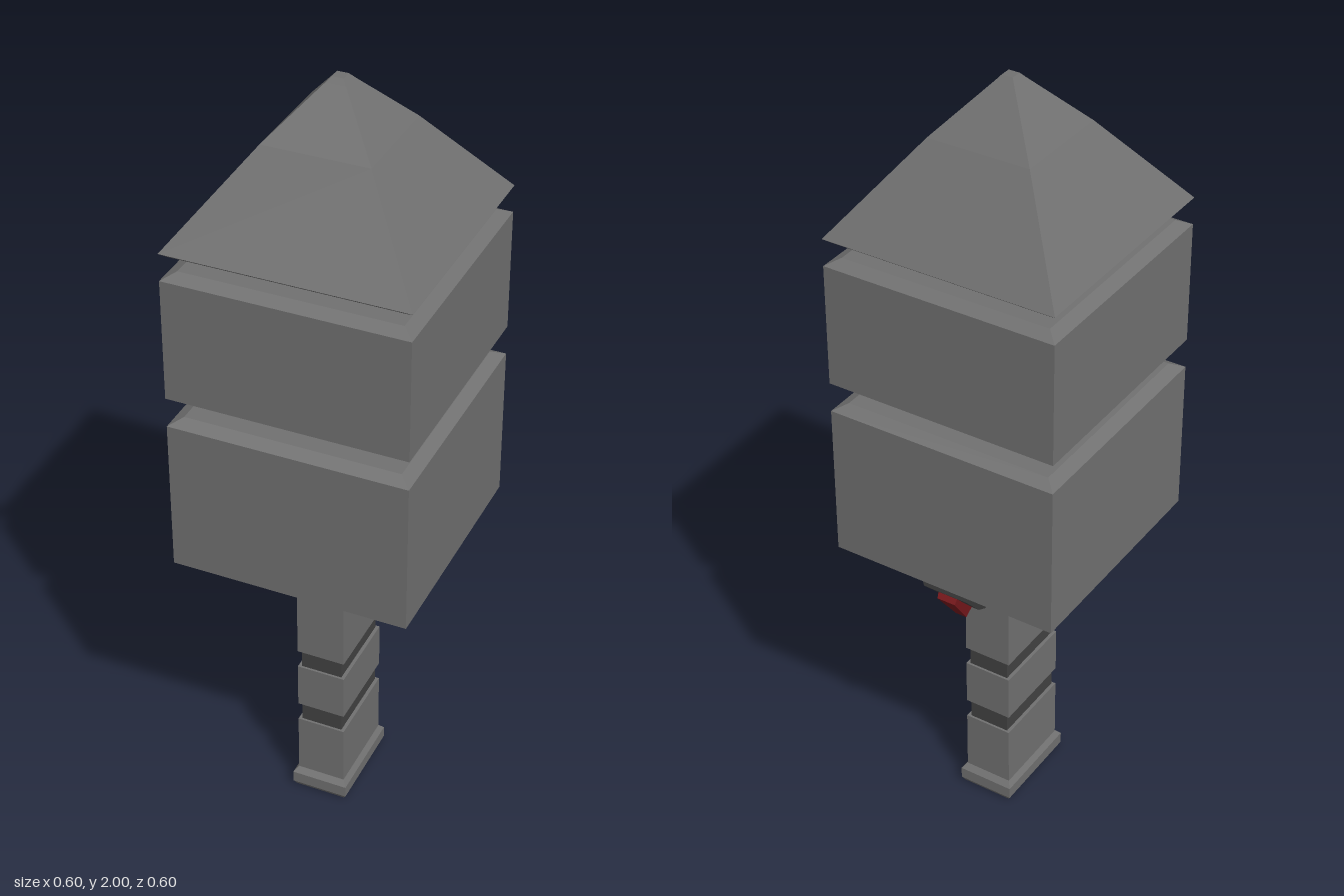
import * as THREE from 'three';

const material = (color) => new THREE.MeshStandardMaterial({ color, flatShading: true });
const grey = material(0x707070);
const darkGrey = material(0x424242);
const yellow = material(0xd1bf00);
const red = material(0x78181c);

// Closed loft through rectangles given as [y, halfX, halfZ], bottom to top
function rectLoft(sections, cx = 0) {
  const pos = [];
  const ring = ([y, hx, hz = hx]) =>
    [[1, 1], [1, -1], [-1, -1], [-1, 1]].map(([a, b]) => [cx + a * hx, y, b * hz]);
  const quad = (a, b, c, d) => pos.push(...a, ...b, ...c, ...a, ...c, ...d);
  const rings = sections.map(ring);
  for (let i = 0; i + 1 < rings.length; i++) {
    const lo = rings[i], hi = rings[i + 1];
    for (let k = 0; k < 4; k++) {
      const n = (k + 1) % 4;
      quad(lo[k], lo[n], hi[n], hi[k]);
    }
  }
  const first = rings[0], last = rings[rings.length - 1];
  quad(first[3], first[2], first[1], first[0]);
  quad(...last);
  const geo = new THREE.BufferGeometry();
  geo.setAttribute('position', new THREE.Float32BufferAttribute(pos, 3));
  geo.computeVertexNormals();
  return geo;
}

// Side profile in (-z, y) extruded across x, its width tapering from bottom to top
function taperedProfile(points, bottomWidth, topWidth) {
  const shape = new THREE.Shape(points.map(([u, v]) => new THREE.Vector2(u, v)));
  const geo = new THREE.ExtrudeGeometry(shape, { depth: 1, bevelEnabled: false });
  geo.translate(0, 0, -0.5).rotateY(Math.PI / 2);
  geo.computeBoundingBox();
  const { min, max } = geo.boundingBox;
  const p = geo.attributes.position;
  for (let i = 0; i < p.count; i++) {
    const t = (p.getY(i) - min.y) / (max.y - min.y);
    p.setX(i, p.getX(i) * THREE.MathUtils.lerp(bottomWidth, topWidth, t));
  }
  geo.computeVertexNormals();
  return geo;
}

export function createModel() {
  const model = new THREE.Group();
  model.name = 'lanternMallet';
  const add = (name, geo, mat = grey) => {
    const mesh = new THREE.Mesh(geo, mat);
    mesh.name = name;
    model.add(mesh);
    return mesh;
  };

  // Handle: bevelled pommel and a grip with two dark grooves
  const gripX = -0.003;
  add('pommel', rectLoft([
    [0, 0.066, 0.119], [0.012, 0.074, 0.126], [0.043, 0.074, 0.126], [0.057, 0.064, 0.114],
  ], gripX));
  [[0.05, 0.222], [0.274, 0.398], [0.448, 0.64]].forEach(([a, b], i) =>
    add(`gripSection${i + 1}`, rectLoft([[a, 0.063, 0.113], [b, 0.063, 0.113]], gripX)));
  [[0.215, 0.28], [0.39, 0.455]].forEach(([a, b], i) =>
    add(`gripGroove${i + 1}`, rectLoft([[a, 0.054, 0.107], [b, 0.054, 0.107]], gripX), darkGrey));

  // Head: two bevelled blocks and a slightly bulging pyramid cap
  add('lowerBlock', rectLoft([
    [0.633, 0.064, 0.113], [0.791, 0.3], [1.188, 0.3], [1.204, 0.27],
  ]));
  add('upperBlock', rectLoft([[1.252, 0.275], [1.265, 0.3], [1.577, 0.3], [1.593, 0.27]]));
  add('pyramidCap', rectLoft([[1.634, 0.285], [1.646, 0.3], [1.868, 0.131], [1.988, 0.024], [2, 0.014]]));

  // Rectangular core seen in the gaps
  const core = add('core', new THREE.BoxGeometry(0.24, 0.5, 0.21), yellow);
  core.position.y = 1.42;

  // Trigger on the sloping back underside
  add('triggerMount', taperedProfile(
    [[0.113, 0.639], [0.16, 0.647], [0.195, 0.669], [0.288, 0.767], [0.288, 0.785]], 0.05, 0.13), darkGrey);
  add('trigger', taperedProfile(
    [[0.2, 0.677], [0.222, 0.657], [0.285, 0.742], [0.27, 0.767]], 0.03, 0.055), red);

  return model;
}
